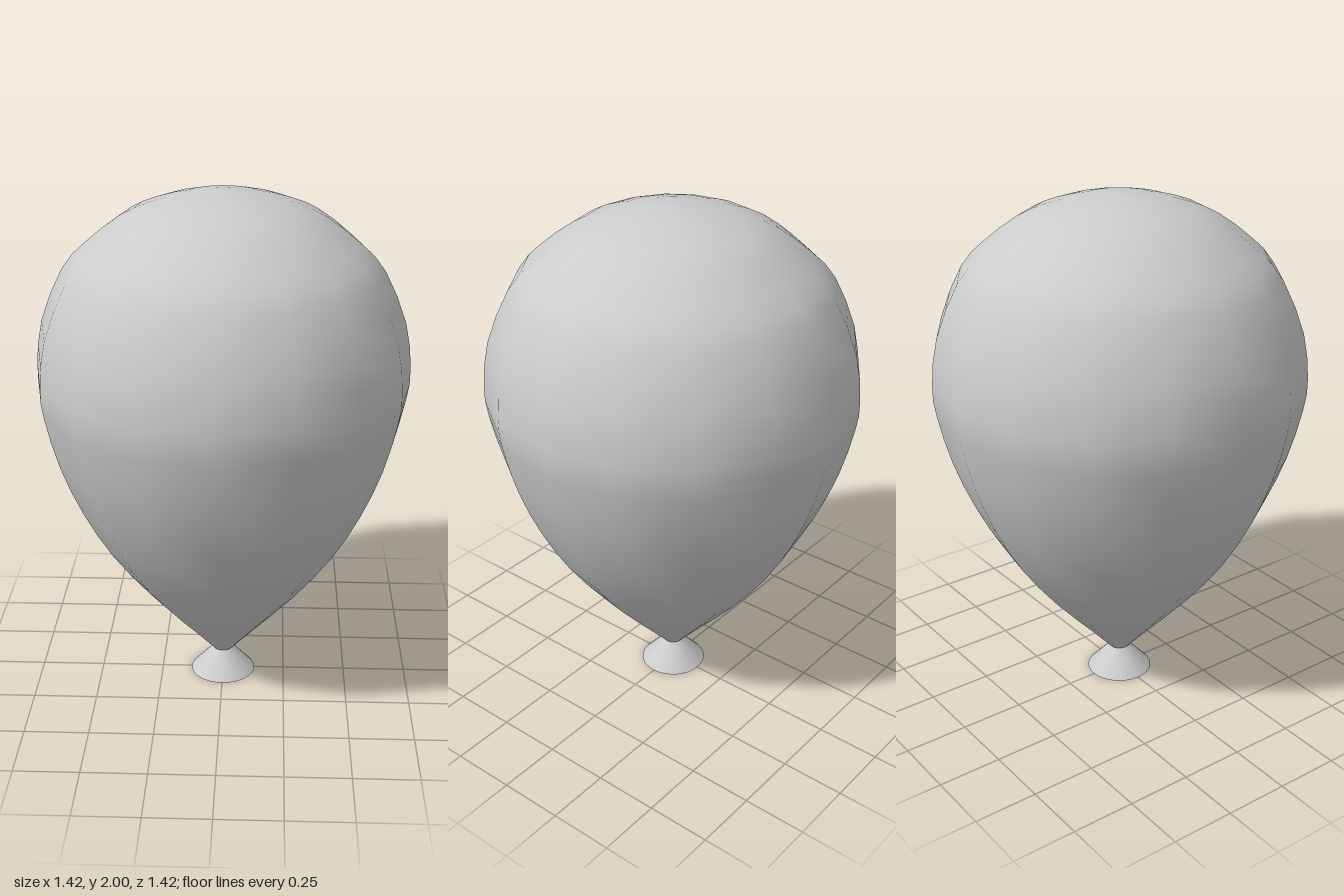
import * as THREE from 'three';

export function createModel() {
  const model = new THREE.Group();
  const material = new THREE.MeshStandardMaterial({ color: 0xcccccc, side: THREE.DoubleSide });

  // Adds a smooth turned part from a list of points, bottom to top.
  const addTurned = (name, points, sides) => {
    const mesh = new THREE.Mesh(new THREE.LatheGeometry(points, sides), material);
    mesh.name = name;
    model.add(mesh);
  };

  // Inflated body: radius and height, from the tied neck to the crown
  const bodyProfile = [
    [0.04, 0.1], [0.13, 0.2], [0.31, 0.4], [0.46, 0.6], [0.57, 0.8], [0.65, 1.0],
    [0.7, 1.2], [0.71, 1.32], [0.685, 1.5], [0.6, 1.7], [0.51, 1.8],
    [0.38, 1.9], [0.27, 1.95], [0.14, 1.985], [0, 2],
  ].map(([r, y]) => new THREE.Vector2(r, y));
  const bodyPoints = new THREE.SplineCurve(bodyProfile).getPoints(28);
  bodyPoints[28].x = 0;
  addTurned('body', bodyPoints, 16);

  // Flared mouth below the knot, open underneath
  addTurned('mouth', [new THREE.Vector2(0.13, 0), new THREE.Vector2(0.04, 0.1)], 32);

  return model;
}
